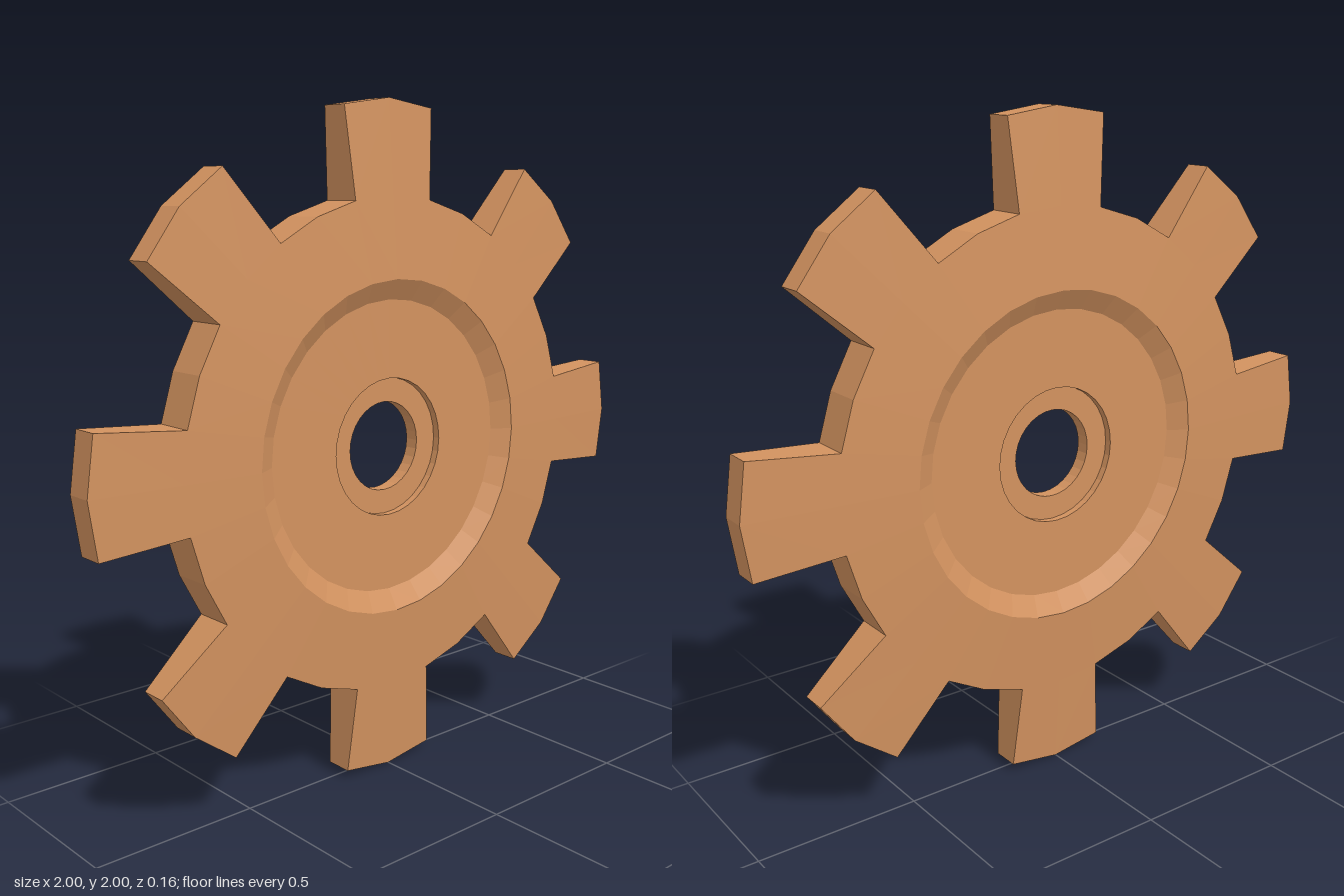
import * as THREE from 'three';

const SEGMENTS = 32, TEETH = 8;
const ROOT = 0.73, ROOT_Z = 0.062;          // valley radius and half thickness
const TIP_Z = 0.042;                        // half thickness at the tooth tips
const STEP = (2 * Math.PI) / SEGMENTS;
const TIP_HALF = THREE.MathUtils.degToRad(9.6);

const polar = (r, a, z) => [r * Math.sin(a), r * Math.cos(a), z];

// Web, stepped hub and bore: half profile (radius, z), mirrored to the back
function discGeometry() {
  const half = [[ROOT, ROOT_Z], [0.495, 0.08], [0.435, 0.045], [0.205, 0.045], [0.205, 0.022], [0.133, 0.022]];
  const back = half.map(([r, z]) => [r, -z]).reverse();
  const points = [...half, ...back].map(([r, z]) => new THREE.Vector2(r, z));
  return new THREE.LatheGeometry(points, SEGMENTS).rotateX(Math.PI / 2);
}

// Geometry from four-cornered faces, corners counter-clockwise from outside
function quadGeometry(quads) {
  const pos = [];
  for (const [a, b, c, d] of quads) pos.push(...a, ...b, ...c, ...a, ...c, ...d);
  const g = new THREE.BufferGeometry();
  g.setAttribute('position', new THREE.Float32BufferAttribute(pos, 3));
  g.computeVertexNormals();
  return g;
}

// One tapered tooth centred on +y; angles run clockwise seen from the front
function toothGeometry() {
  const root = z => [-STEP, 0, STEP].map(a => polar(ROOT, a, z));
  const tip = z => [polar(0.99, -TIP_HALF, z), polar(1, 0, z), polar(0.99, TIP_HALF, z)];
  const rf = root(ROOT_Z), rb = root(-ROOT_Z), tf = tip(TIP_Z), tb = tip(-TIP_Z);
  const quads = [
    [rf[0], tf[0], tb[0], rb[0]],           // flanks
    [rf[2], rb[2], tb[2], tf[2]],
  ];
  for (let i = 0; i < 2; i++) {
    quads.push([rf[i], rf[i + 1], tf[i + 1], tf[i]]);   // front
    quads.push([rb[i + 1], rb[i], tb[i], tb[i + 1]]);   // back
    quads.push([tf[i], tf[i + 1], tb[i + 1], tb[i]]);   // tip
  }
  return quadGeometry(quads);
}

// Rim wall in the valley following a tooth
function valleyGeometry() {
  const quads = [1, 2].map(i => [
    polar(ROOT, i * STEP, ROOT_Z), polar(ROOT, (i + 1) * STEP, ROOT_Z),
    polar(ROOT, (i + 1) * STEP, -ROOT_Z), polar(ROOT, i * STEP, -ROOT_Z),
  ]);
  return quadGeometry(quads);
}

export function createModel() {
  const group = new THREE.Group();
  group.name = 'gear';
  const material = new THREE.MeshStandardMaterial({ color: 0xd2925f, flatShading: true });

  const add = (name, geometry, angle = 0) => {
    const mesh = new THREE.Mesh(geometry, material);
    mesh.name = name;
    mesh.position.y = 1;
    mesh.rotation.z = -angle;
    group.add(mesh);
  };

  add('disc', discGeometry());
  const tooth = toothGeometry(), valley = valleyGeometry();
  for (let i = 0; i < TEETH; i++) {
    const angle = (i * 2 * Math.PI) / TEETH;
    add(`tooth${i + 1}`, tooth, angle);
    add(`valley${i + 1}`, valley, angle);
  }
  return group;
}
